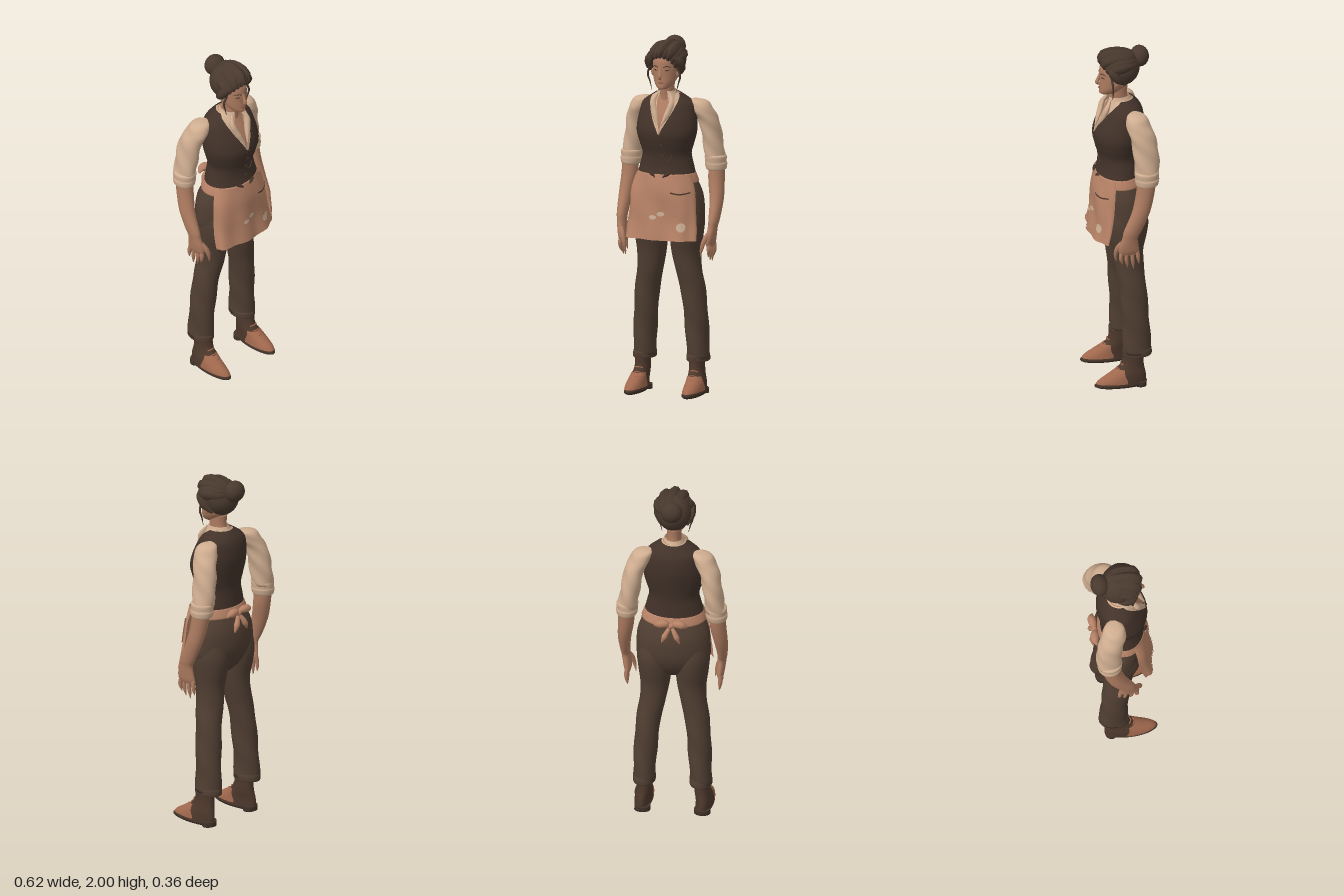
import * as THREE from 'three';

const mat = (name, color, side = THREE.DoubleSide) => new THREE.MeshStandardMaterial({ name, color, side });
const M = {
  hair: mat('hair brown', 0x49392e), vest: mat('vest brown', 0x423229), trousers: mat('trouser brown', 0x503e32),
  shirt: mat('shirt cream', 0xcfad90), skin: mat('skin', 0xae7c61), apron: mat('apron tan', 0xb88367),
  toe: mat('shoe leather', 0xa0684d), boot: mat('boot brown', 0x4d382c), lip: mat('lip', 0x8d5445), patch: mat('patch', 0xcdb196),
};

// Grid surface from a rule fn(u, v) -> [x, y, z]; closed wraps around u
function surface(fn, nu, nv, closed) {
  const pos = [], idx = [], w = closed ? nu : nu + 1;
  for (let j = 0; j <= nv; j++) for (let i = 0; i < w; i++) pos.push(...fn(i / nu, j / nv));
  for (let j = 0; j < nv; j++) for (let i = 0; i < nu; i++) {
    const a = j * w + i, b = j * w + (i + 1) % w;
    idx.push(a, b, a + w, b, b + w, a + w);
  }
  const g = new THREE.BufferGeometry();
  g.setAttribute('position', new THREE.Float32BufferAttribute(pos, 3));
  g.setIndex(idx);
  g.computeVertexNormals();
  return g;
}

// Smooth blend of sections [y, centreX, radiusX, zFront, zBack, gap]
function sample(secs, t) {
  const n = secs.length - 1, k = Math.min(n - 1, Math.floor(t)), f = t - k;
  const p = i => secs[Math.max(0, Math.min(n, i))];
  return secs[0].map((_, c) => {
    const [a, b, d, e] = [p(k - 1)[c], p(k)[c], p(k + 1)[c], p(k + 2)[c]];
    return b + 0.5 * f * (d - a + f * (2 * a - 5 * b + 4 * d - e + f * (3 * (b - d) + e - a)));
  });
}
function ringPoint(secs, t, ang, s = 1, off = 0, k = 1) {
  const [y, cx, rx, zf, zb] = sample(secs, t);
  return [s * cx + Math.cos(ang) * (rx + off) * k, y, (zf + zb) / 2 + Math.sin(ang) * ((zf - zb) / 2 + off) * k];
}
// Body loft, listed top to bottom; open lofts leave the gap around the angle "at"
function loft(secs, { s = 1, off = 0, open = false, at = Math.PI / 2, nu = 32, wave = () => 0 } = {}) {
  const n = secs.length - 1, rows = n * 4;
  if (!open) return surface((u, v) => {
    const j = Math.round(v * (rows + 2)) - 1, t = Math.max(0, Math.min(rows, j)) / 4;
    return ringPoint(secs, t, u * Math.PI * 2, s, off + wave(u, t / n), j < 0 || j > rows ? 0.001 : 1);
  }, nu, rows + 2, true);
  return surface((u, v) => {
    const g = Math.max(0, sample(secs, v * n)[5]);
    return ringPoint(secs, v * n, at + g + u * (Math.PI * 2 - 2 * g), s, off + wave(u, v));
  }, nu, rows);
}
// Tapered tube through points, with radii spread evenly along it
function strand(pts, radii, s = 1, seg = 14, sides = 8) {
  const curve = new THREE.CatmullRomCurve3(pts.map(p => new THREE.Vector3(p[0] * s, p[1], p[2])));
  const g = new THREE.TubeGeometry(curve, seg, 1, sides), P = g.attributes.position, q = new THREE.Vector3();
  for (let i = 0; i < P.count; i++) {
    const u = Math.floor(i / (sides + 1)) / seg, t = u * (radii.length - 1), k = Math.min(radii.length - 2, Math.floor(t));
    const c = curve.getPointAt(u), r = radii[k] + (radii[k + 1] - radii[k]) * (t - k);
    q.fromBufferAttribute(P, i).sub(c).multiplyScalar(r).add(c);
    P.setXYZ(i, q.x, q.y, q.z);
  }
  g.computeVertexNormals();
  return g;
}

const TORSO = [[1.695, 0, .06, .055, -.07], [1.67, 0, .10, .06, -.095], [1.64, 0, .138, .075, -.115], [1.6, 0, .15, .098, -.125],
  [1.54, 0, .16, .126, -.127], [1.48, 0, .162, .138, -.118], [1.42, 0, .147, .126, -.106], [1.36, 0, .13, .11, -.097],
  [1.3, 0, .142, .11, -.1], [1.245, 0, .156, .122, -.105]];
const withGap = (secs, gaps) => secs.map((r, i) => [...r, gaps[i] ?? 0]);
// Apron rows are 0.09 apart in height
const APRON = [[1.25, 0, .158, .135, -.03], [1.16, 0, .185, .151, -.02], [1.07, 0, .196, .155, -.01], [.98, 0, .2, .159, .015],
  [.89, 0, .205, .172, .045]].map(r => [...r, Math.PI / 2]);
const fold = (u, v) => .006 * v * Math.sin(u * 24 + 1) + .003 * Math.sin(u * 13 + v * 9);
const onApron = (x, y, off) => {
  const t = (1.25 - y) / .09, ang = Math.acos(x / sample(APRON, t)[2]);
  return ringPoint(APRON, t, ang, 1, off + fold(ang / Math.PI, t / 4));
};

export function createModel() {
  const model = new THREE.Group();
  const add = (name, geo, m, x = 0, y = 0, z = 0) => {
    const mesh = new THREE.Mesh(geo, m);
    mesh.name = name;
    mesh.position.set(x, y, z);
    model.add(mesh);
    return mesh;
  };
  const ball = (name, m, r, p) => add(name, new THREE.SphereGeometry(1, 24, 16), m, ...p).scale.set(...r);

  // Head, neck and face
  add('head', loft([[1.95, 0, .05, .065, -.05], [1.9, 0, .071, .104, -.07], [1.85, 0, .073, .111, -.08], [1.8, 0, .069, .11, -.07],
    [1.765, 0, .057, .111, -.03], [1.737, 0, .036, .112, 0], [1.727, 0, .02, .1, .04]]), M.skin);
  add('neck', loft([[1.78, 0, .043, .06, -.05], [1.72, 0, .04, .062, -.045], [1.68, 0, .042, .058, -.055], [1.62, 0, .06, .06, -.07]]), M.skin);
  add('chestSkin', loft(TORSO.slice(0, 6), { off: -.006 }), M.skin);
  add('nose', strand([[0, 1.855, .108], [0, 1.82, .119], [0, 1.797, .125], [0, 1.785, .11]], [.005, .008, .011, .004]), M.skin);
  add('lips', strand([[-.022, 1.764, .102], [0, 1.768, .113], [.022, 1.764, .102]], [.001, .005, .001]), M.lip);
  for (const s of [1, -1]) {
    add('eye', strand([[.018, 1.835, .106], [.032, 1.837, .101], [.046, 1.835, .09]], [.001, .004, .001], s), M.hair);
    add('eyebrow', strand([[.014, 1.853, .109], [.032, 1.86, .103], [.053, 1.853, .085]], [.002, .003, .001], s), M.hair);
    ball('ear', M.skin, [.012, .026, .017], [s * .074, 1.815, .025]);
  }

  // Hair: cap, swept-back locks with a slight twist, bun and loose wisps
  ball('hairCap', M.hair, [.098, .106, .096], [0, 1.882, -.02]);
  for (let k = -4; k <= 4; k++) {
    const a = k * .3, x = Math.sin(a), z = Math.cos(a), d = a * a, odd = k % 2, lift = odd ? -.008 : 0;
    add('hairLock', strand([[.08 * x - .012, 1.905 - .04 * d, .03 + .07 * z], [.083 * x, 1.945 - .034 * d + lift, .025 + .073 * z],
      [.075 * x + .012, 1.965 - .035 * d + lift, -.01], [.05 * x + .012, 1.955 - .03 * d, -.06], [.02 * x, 1.93, -.1]],
    [.01, odd ? .025 : .03, .034, .032, .026, .012]), M.hair);
  }
  ball('bun', M.hair, [.061, .06, .052], [0, 1.935, -.117]);
  for (const s of [1, -1]) {
    add('sideCurl', strand([[.05, 1.915, .088], [.086, 1.89, .058], [.092, 1.85, .03], [.072, 1.805, -.02]], [.01, .026, .024, .01], s), M.hair);
    add('hairWisp', strand([[.078, 1.85, .06], [.096, 1.805, .056], [.084, 1.76, .052], [.073, 1.715, .052]], [.007, .006, .004, .001], s), M.hair);
  }

  // Shirt front, vest and collar
  add('shirtBody', loft(withGap(TORSO.slice(0, 6), [1.1, .5, .26, .2, .06]), { open: true }), M.shirt);
  add('vest', loft(withGap(TORSO, [1.4, .85, .55, .4, .19, .02]), { open: true, off: .009, nu: 48 }), M.vest);
  add('collar', loft([[1.712, 0, .05, .064, -.056, .4], [1.69, 0, .06, .072, -.068, .42], [1.655, 0, .085, .086, -.09, .45]], { open: true }), M.shirt);
  for (const s of [1, -1]) add('collarFlap',
    strand([[.035, 1.7, .056], [.054, 1.655, .08], [.04, 1.6, .1], [.01, 1.53, .134]], [.006, .018, .017, .003], s), M.shirt);
  for (const [y, z] of [[1.48, .147], [1.42, .135], [1.36, .119], [1.3, .119]]) ball('vestButton', M.boot, [.006, .006, .004], [.012, y, z]);
  add('watchChain', strand([[.012, 1.36, .12], [.028, 1.335, .118], [.05, 1.33, .113], [.068, 1.36, .106]], [.003, .003]), M.boot);
  // Pointed vest fronts over the apron top
  for (const s of [1, -1]) add('vestPoint', strand([[.06, 1.262, .125], [.035, 1.25, .134], [.022, 1.238, .138]], [.006, .009, .002], s, 8), M.vest);

  for (const s of [1, -1]) {
    // Sleeves with rolled cuffs
    add('sleeve', loft([[1.658, .145, .024, -.035, -.08], [1.643, .164, .053, -.008, -.115], [1.6, .183, .059, .002, -.134],
      [1.55, .208, .056, -.012, -.153], [1.48, .222, .055, -.024, -.167], [1.4, .234, .054, -.03, -.172], [1.32, .246, .055, -.036, -.168]],
    { s, wave: (u, v) => .004 * v * Math.sin(u * 18.85 + v * 22) }), M.shirt);
    add('cuff', loft([[1.345, .245, .05, -.036, -.16], [1.335, .247, .06, -.03, -.168], [1.305, .248, .058, -.033, -.166],
      [1.295, .249, .061, -.032, -.168], [1.267, .251, .056, -.036, -.162], [1.26, .251, .046, -.045, -.152]], { s }), M.shirt);
    // Forearm, hand and fingers
    add('forearm', loft([[1.29, .254, .045, -.045, -.15], [1.2, .257, .045, -.034, -.137], [1.1, .268, .038, -.008, -.11],
      [1.0, .271, .029, .036, -.066], [.955, .268, .025, .045, -.043], [.91, .263, .024, .06, -.047], [.87, .258, .022, .064, -.052],
      [.845, .255, .014, .054, -.042]], { s, nu: 20 }), M.skin);
    [[.045, .79], [.018, .768], [-.012, .76], [-.04, .785]].forEach(([z, y]) => add('finger',
      strand([[.257, .875, z], [.262, .83, z * 1.15], [.256, y, z * 1.1 - .008]], [.012, .012, .01, .002], s, 8), M.skin));
    add('thumb', strand([[.258, .925, .045], [.24, .88, .068], [.228, .835, .074], [.22, .795, .068]], [.012, .015, .011, .002], s, 8), M.skin);
    // Trouser leg with hem
    add('trouserLeg', loft([[1.15, .105, .07, .07, -.1], [1.0, .106, .096, .093, -.138], [.9, .104, .093, .085, -.131], [.8, .102, .081, .06, -.112],
      [.7, .113, .074, .045, -.113], [.6, .132, .069, .032, -.121], [.5, .143, .067, .024, -.128], [.4, .15, .065, .018, -.134],
      [.3, .155, .063, .015, -.14], [.2, .158, .062, .016, -.146]], { s, wave: (u, v) => .003 * Math.sin(u * 12.566 + v * 26) * v }), M.trousers);
    add('trouserHem', loft([[.225, .157, .059, .013, -.143], [.215, .157, .063, .017, -.147], [.188, .158, .063, .017, -.147],
      [.184, .158, .055, .01, -.138]], { s }), M.trousers);
    // Ankle boot, leather front, sole and laces
    const FOOT = [[.22, .16, .042, .018, -.1], [.15, .16, .042, .022, -.1], [.11, .163, .044, .05, -.104], [.08, .168, .047, .1, -.11],
      [.05, .17, .049, .15, -.114], [.032, .17, .05, .168, -.114], [.016, .17, .05, .172, -.114]];
    add('boot', loft(FOOT, { s }), M.boot);
    add('bootToe', loft(withGap(FOOT.slice(2, 6), [2.1, 1.75, 1.45, 1.4]), { s, open: true, at: -Math.PI / 2, off: .003 }), M.toe);
    add('sole', loft([[.024, .17, .051, .178, -.115], [.014, .17, .051, .178, -.116], [.005, .17, .043, .16, -.112]], { s }), M.vest);
    add('heel', loft([[.03, .167, .045, -.04, -.117], [0, .167, .045, -.045, -.116]], { s }), M.vest);
    for (const [y, z] of [[.14, .031], [.115, .05], [.095, .077]])
      add('lace', strand([[.14, y - .006, z - .012], [.163, y, z], [.186, y - .006, z - .012]], [.004, .004], s, 6, 6), M.toe);
  }
  add('trouserSeat', loft([[1.25, 0, .148, .1, -.1], [1.2, 0, .175, .11, -.122], [1.13, 0, .2, .115, -.148], [1.05, 0, .207, .112, -.155],
    [.98, 0, .204, .1, -.145], [.91, 0, .17, .06, -.11], [.86, 0, .1, .02, -.06]]), M.trousers);

  // Apron, waistband and rear bow
  add('apron', loft(APRON, { open: true, at: -Math.PI / 2, nu: 56, wave: (u, v) => fold(u, v) }), M.apron);
  add('apronHem', surface((u, v) => onApron(-.19 + .38 * u, .908 - .014 * v, .004), 40, 1), M.apron);
  add('waistband', loft([[1.256, 0, .16, .128, -.112], [1.248, 0, .167, .134, -.118], [1.208, 0, .181, .138, -.13], [1.2, 0, .176, .132, -.122]]), M.apron);
  for (const s of [1, -1]) {
    add('bowLoop', strand([[0, 1.225, -.14], [.035, 1.24, -.152], [.07, 1.235, -.153], [.092, 1.222, -.145]], [.007, .021, .023, .006], s), M.apron);
    add('bowTail', strand([[0, 1.225, -.14], [.025, 1.18, -.16], [.05, 1.125, -.164]], [.007, .013, .017, .003], s), M.apron);
  }
  ball('bowKnot', M.apron, [.018, .017, .016], [0, 1.225, -.147]);

  // Pocket and sewn patches lying on the apron
  add('pocket', surface((u, v) => onApron(.07 + .1 * u, 1.155 - .125 * v - .012 * Math.sin(u * Math.PI) * v, .006), 12, 8), M.apron);
  add('pocketOpening', surface((u, v) => onApron(.07 + .1 * u, 1.163 - .008 * v - .008 * Math.sin(u * Math.PI), .008), 12, 1), M.boot);
  for (const [x, y, rx, ry] of [[.018, 1.037, .022, .013], [-.025, 1.018, .02, .012], [.13, .968, .026, .024]])
    add('apronPatch', surface((u, v) => onApron(x + Math.cos(u * 6.2832) * rx * (1 - v), y + Math.sin(u * 6.2832) * ry * (1 - v), .005), 10, 2, true), M.patch);
  return model;
}
